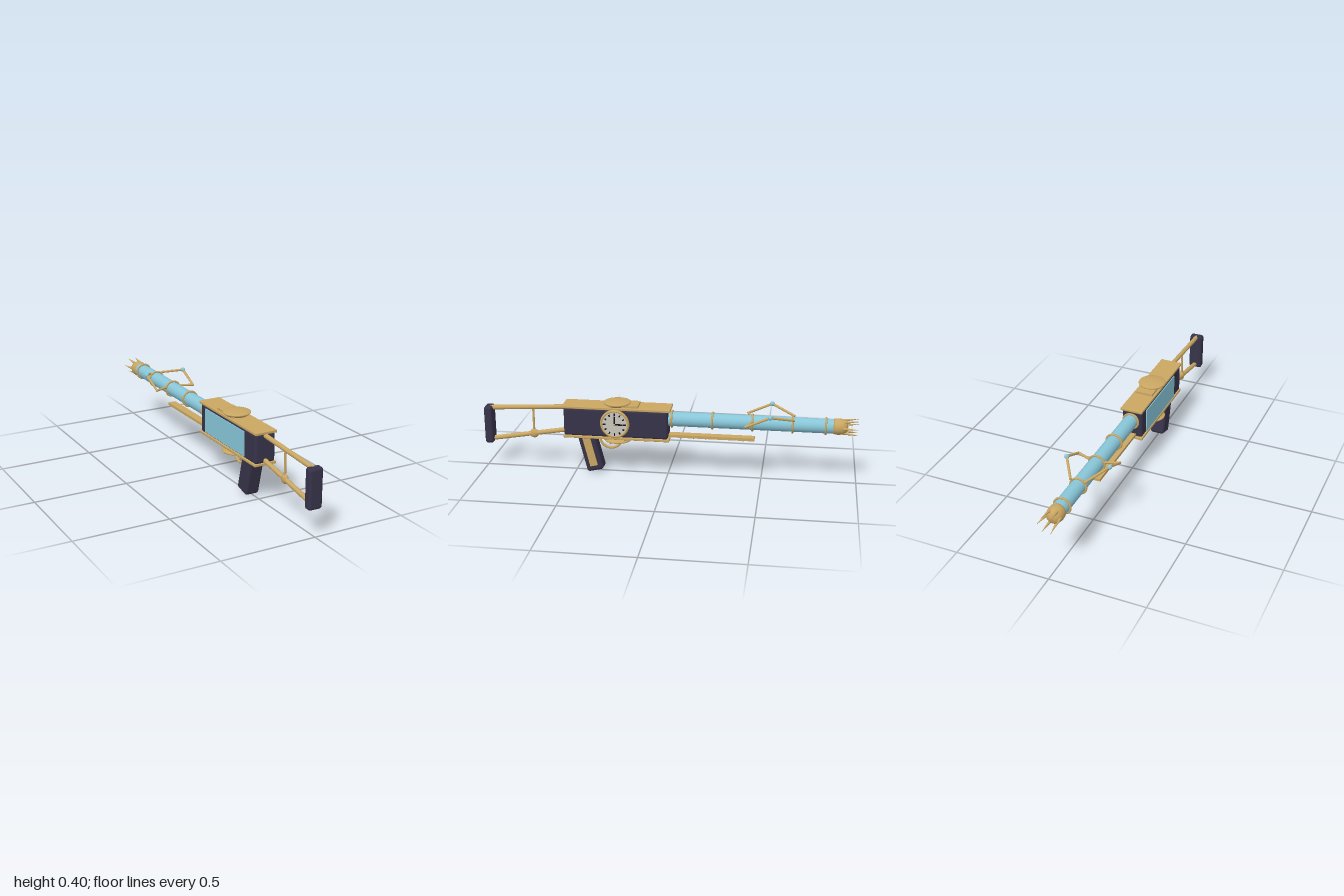
import * as THREE from 'three';
import { RoundedBoxGeometry } from 'three/addons/geometries/RoundedBoxGeometry.js';

const mat = (name, color) => {
  const m = new THREE.MeshStandardMaterial({ color });
  m.name = name;
  return m;
};
const V = (x, y, z) => new THREE.Vector3(x, y, z);

export function createModel() {
  const brass = mat('brass', 0xc9a662);
  const dark = mat('darkCasing', 0x363349);
  const teal = mat('tealGlass', 0x88c6d8);
  const silver = mat('dialSilver', 0xcac6bd);
  const black = mat('dialBlack', 0x15151a);

  const root = new THREE.Group();
  root.name = 'fancyRifle';
  const add = (name, geo, material, x = 0, y = 0, z = 0, parent = root) => {
    const m = new THREE.Mesh(geo, material);
    m.name = name;
    m.position.set(x, y, z);
    parent.add(m);
    return m;
  };
  const box = (name, material, x, y, z, w, h, d, parent) =>
    add(name, new THREE.BoxGeometry(w, h, d), material, x, y, z, parent);
  const rounded = (name, material, x, y, z, w, h, d, r, parent) =>
    add(name, new RoundedBoxGeometry(w, h, d, 4, r), material, x, y, z, parent);
  // straight round bar between two points
  const rod = (name, a, b, r, r2 = r) => {
    const m = add(name, new THREE.CylinderGeometry(r2, r, a.distanceTo(b), 14), brass);
    m.position.copy(a).lerp(b, 0.5);
    m.quaternion.setFromUnitVectors(V(0, 1, 0), b.clone().sub(a).normalize());
    return m;
  };
  const lathe = (pts, n = 40) => new THREE.LatheGeometry(pts.map(p => new THREE.Vector2(...p)), n);

  // receiver with top and bottom plates
  rounded('receiver', dark, 0, 0.292, 0.275, 0.114, 0.156, 0.56, 0.014);
  rounded('topPlate', brass, 0, 0.374, 0.272, 0.122, 0.014, 0.58, 0.003);
  rounded('bottomPlate', brass, 0, 0.21, 0.272, 0.122, 0.014, 0.57, 0.003);
  box('sidePanel', teal, -0.0585, 0.291, 0.25, 0.007, 0.13, 0.4);

  // shallow round caps above and below the receiver
  const cap = [[0, -0.012], [0.055, -0.012], [0.058, 0], [0.07, 0], [0.0735, 0.004],
    [0.0715, 0.008], [0.066, 0.009], [0.05, 0.0125], [0.03, 0.015], [0, 0.0165]];
  box('capBase', brass, 0, 0.385, 0.235, 0.096, 0.013, 0.16);
  add('topCap', lathe(cap), brass, 0, 0.391, 0.272);
  add('bottomCap', lathe(cap), brass, 0, 0.193, 0.272).rotation.x = Math.PI;

  // clock on the left side
  const clock = new THREE.Group();
  clock.name = 'clock';
  clock.position.set(0.055, 0.293, 0.277);
  root.add(clock);
  add('clockRim', lathe([[0.078, 0], [0.079, 0.006], [0.076, 0.013], [0.071, 0.015],
    [0.067, 0.013], [0.066, 0.01]]), brass, 0, 0, 0, clock).rotation.z = -Math.PI / 2;
  const dial = new THREE.CylinderGeometry(0.067, 0.067, 0.011, 40);
  add('clockFace', dial, silver, 0.0055, 0, 0, clock).rotation.z = -Math.PI / 2;
  for (let i = 0; i < 12; i++) {
    const a = i * Math.PI / 6;
    const tick = box('hourMark', black, 0.015, Math.cos(a) * 0.055, Math.sin(a) * 0.055,
      0.009, i % 3 ? 0.01 : 0.014, 0.006, clock);
    tick.rotation.x = a;
  }
  box('minuteHand', black, 0.015, 0.019, 0, 0.008, 0.046, 0.006, clock);
  box('hourHand', black, 0.017, 0, -0.02, 0.008, 0.006, 0.046, clock);
  add('clockHub', new THREE.SphereGeometry(0.006, 12, 8), brass, 0.02, 0, 0, clock);

  // barrel, rings and crowned muzzle
  const by = 0.316;
  const tube = new THREE.CylinderGeometry(0.0385, 0.0385, 0.88, 32).rotateX(Math.PI / 2);
  add('barrel', tube, teal, 0, by, -0.435);
  for (const z of [-0.022, -0.237, -0.447, -0.657, -0.828])
    add('barrelRing', new THREE.TorusGeometry(0.0425, 0.0055, 10, 32), brass, 0, by, z);
  add('muzzle', lathe([[0, 0], [0.037, 0], [0.042, 0.012], [0.0435, 0.03], [0.041, 0.05],
    [0.034, 0.066], [0.022, 0.076], [0, 0.08]], 28).rotateX(-Math.PI / 2), brass, 0, by, -0.863);
  for (let i = 0; i < 6; i++) {
    const a = i * Math.PI / 3, c = Math.cos(a), s = Math.sin(a);
    rod('muzzleSpike', V(c * 0.034, by + s * 0.034, -0.915),
      V(c * 0.045, by + s * 0.045, -1), 0.008, 0.0005);
  }

  // bent side arms with glass beads
  for (const s of [1, -1]) {
    const p = [V(s * 0.036, 0.35, -0.665), V(s * 0.115, 0.386, -0.543),
      V(s * 0.113, 0.33, -0.417), V(s * 0.036, 0.33, -0.447)];
    for (let i = 0; i < 3; i++) rod('sideArm', p[i], p[i + 1], 0.0065);
    add('armElbow', new THREE.SphereGeometry(0.0068, 12, 8), brass, p[2].x, p[2].y, p[2].z);
    add('armBead', new THREE.SphereGeometry(0.0125, 18, 12), teal, p[1].x, p[1].y, p[1].z);
  }

  // studded rail under the barrel
  box('lowerRail', brass, 0, 0.226, -0.225, 0.045, 0.015, 0.47);
  for (let i = 0; i < 6; i++)
    add('railStud', new THREE.SphereGeometry(0.0075, 12, 8), brass, 0, 0.216, -0.07 - i * 0.066);

  // open stock with shoulder pad
  rounded('shoulderPad', dark, 0, 0.242, 0.977, 0.075, 0.207, 0.046, 0.014);
  rod('upperStockBar', V(0, 0.334, 0.97), V(0, 0.358, 0.54), 0.0125);
  rod('lowerStockBar', V(0, 0.157, 0.97), V(0, 0.23, 0.54), 0.0125);
  rod('stockBrace', V(0, 0.2, 0.733), V(0, 0.345, 0.733), 0.006);
  const knob = add('stockKnob', new THREE.SphereGeometry(0.025, 20, 14), brass, 0, 0.197, 0.733);
  knob.scale.x = 0.6;

  // slanted grip with inlay on one side
  const grip = new THREE.Group();
  grip.name = 'grip';
  grip.position.set(0, 0.114, 0.416);
  grip.rotation.x = 0.245;
  root.add(grip);
  rounded('gripBody', dark, 0, 0, 0, 0.08, 0.213, 0.092, 0.016, grip);
  box('gripInlay', brass, 0.039, 0.012, 0, 0.009, 0.175, 0.042, grip);

  // trigger and its guard
  const guard = new THREE.TorusGeometry(0.06, 0.007, 10, 28, Math.PI);
  guard.rotateZ(Math.PI).rotateY(Math.PI / 2);
  add('triggerGuard', guard, brass, 0, 0.196, 0.31);
  rod('trigger', V(0, 0.195, 0.325), V(0, 0.155, 0.312), 0.006, 0.004);

  return root;
}
